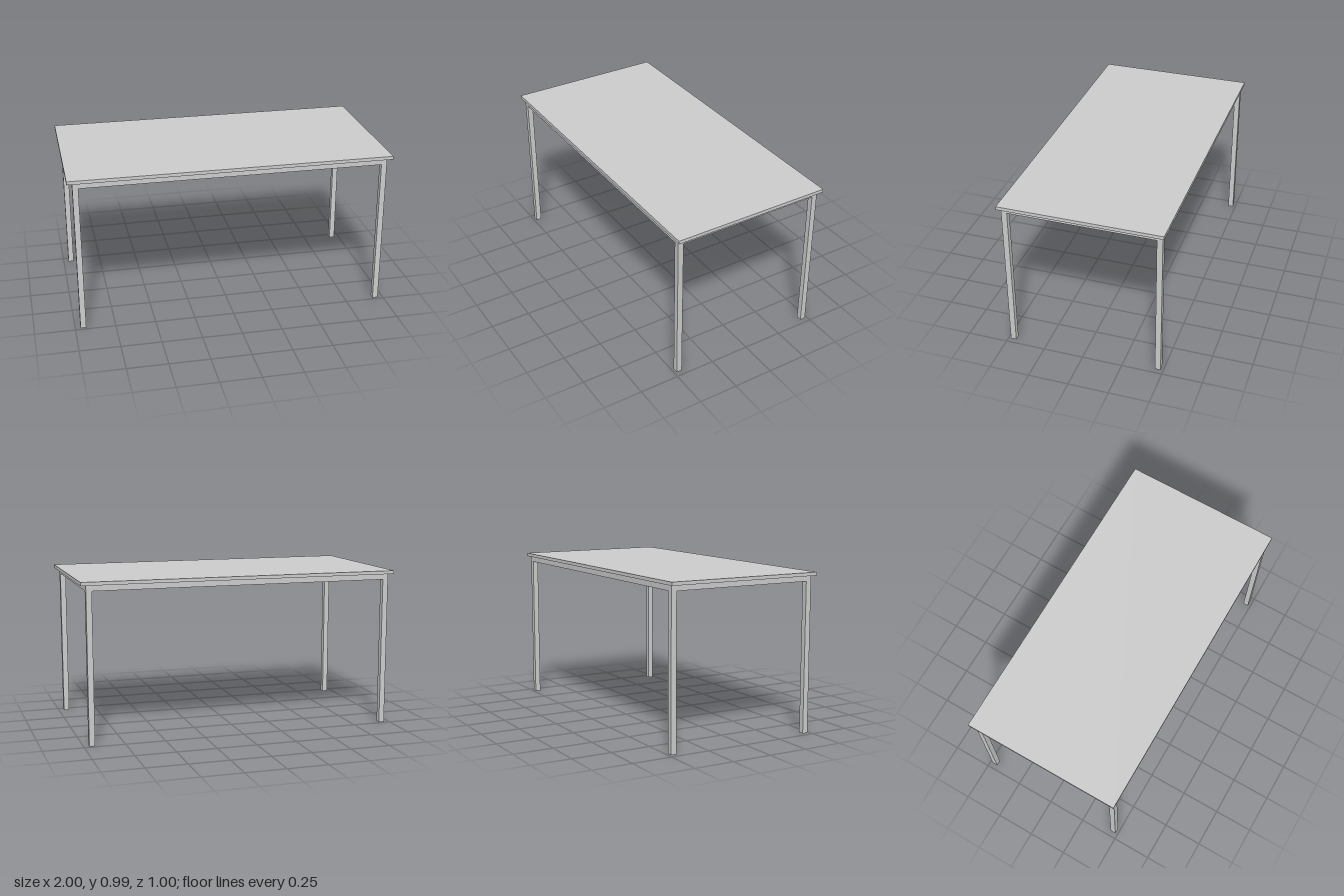
import * as THREE from 'three';

const TOP = 0.988, UNDERSIDE = 0.967; // table top heights
const TUBE = 0.035;                   // square tube of the frame
const FRAME_X = 0.967, FRAME_Z = 0.484; // outer half sizes of the frame
const FOOT = 0.004;

export function createModel() {
  const table = new THREE.Group();
  table.name = 'table';
  const material = new THREE.MeshStandardMaterial({ color: 0xcccccc });

  const box = (name, [w, h, d], [x, y, z]) => {
    const mesh = new THREE.Mesh(new THREE.BoxGeometry(w, h, d), material);
    mesh.name = name;
    mesh.position.set(x, y, z);
    table.add(mesh);
  };

  // Thin rectangular top
  box('tableTop', [2, TOP - UNDERSIDE, 1], [0, (TOP + UNDERSIDE) / 2, 0]);

  const legX = FRAME_X - TUBE / 2, legZ = FRAME_Z - TUBE / 2;
  const railY = UNDERSIDE - TUBE / 2;

  // Rails between the legs, flush with their outer faces
  for (const [side, s] of [['left', 1], ['right', -1]])
    box(`${side}Rail`, [TUBE, TUBE, 2 * (FRAME_Z - TUBE)], [s * legX, railY, 0]);
  for (const [end, s] of [['front', 1], ['back', -1]])
    box(`${end}Rail`, [2 * (FRAME_X - TUBE), TUBE, TUBE], [0, railY, s * legZ]);

  // Square legs, each closed by a thin foot cap
  for (const [end, sz] of [['front', 1], ['back', -1]])
    for (const [side, sx] of [['Left', 1], ['Right', -1]]) {
      const x = sx * legX, z = sz * legZ;
      box(`${end}${side}Leg`, [TUBE, UNDERSIDE - FOOT, TUBE], [x, (UNDERSIDE + FOOT) / 2, z]);
      box(`${end}${side}FootCap`, [TUBE, FOOT, TUBE], [x, FOOT / 2, z]);
    }

  return table;
}
